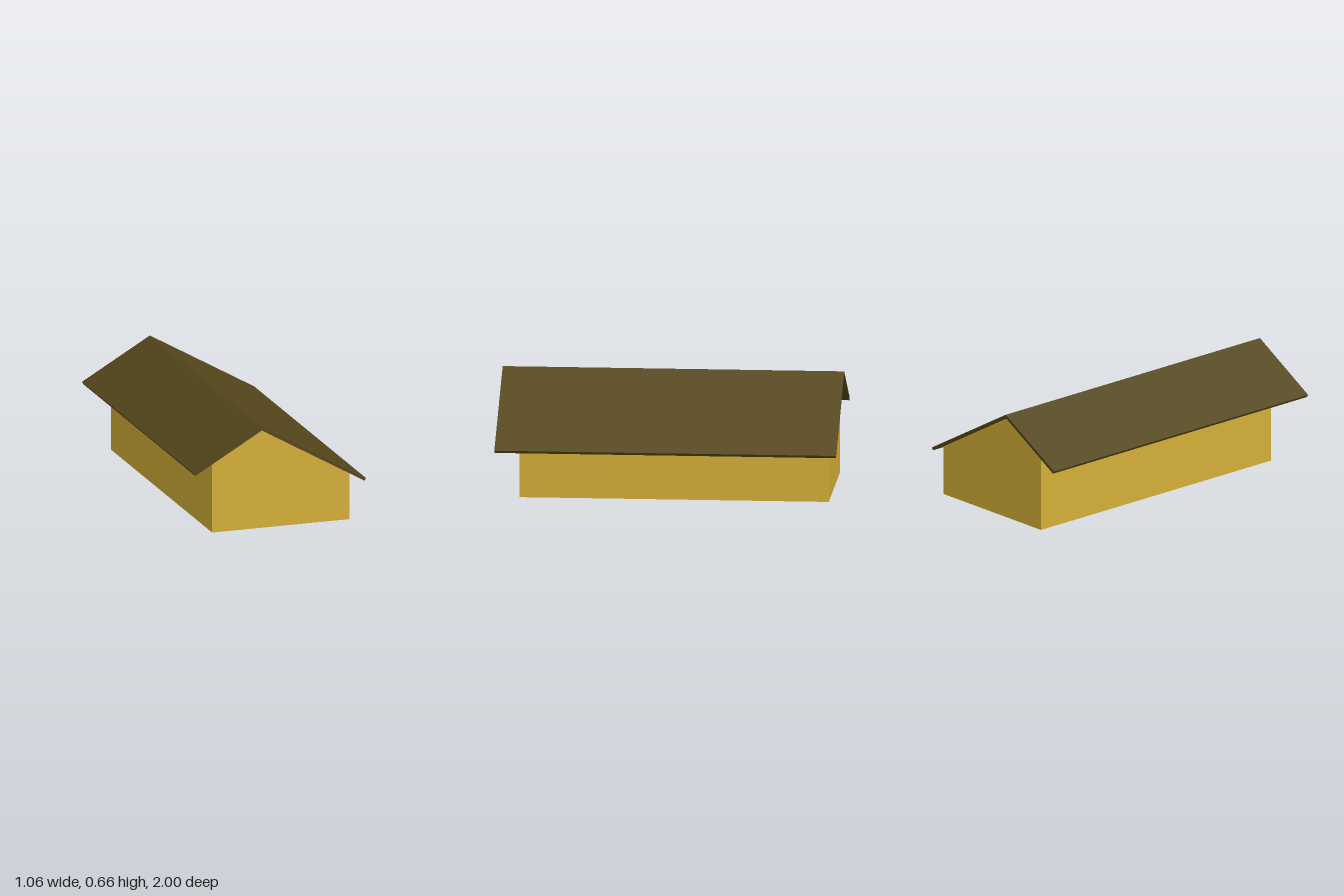
import * as THREE from 'three';

const SLOPE = Math.tan(Math.PI / 6);
const RIDGE_X = -0.113, CEILING = 0.637;
const LEFT = 0.48, RIGHT = -0.37, FRONT = 0.855, BACK = -0.955, WALL = 0.02;

// Height of the roof's underside at x
const under = (x) => CEILING - Math.abs(x - RIDGE_X) * SLOPE;

export function createModel() {
  const model = new THREE.Group();
  const material = (color) => new THREE.MeshStandardMaterial({ color });
  const wallMat = material(0xd4af37), roofMat = material(0x54461b), floorMat = material(0x222222);

  // Extrudes an x/y outline from z0 to z1
  function prism(name, points, z0, z1, mat) {
    const shape = new THREE.Shape(points.map(([x, y]) => new THREE.Vector2(x, y)));
    const geometry = new THREE.ExtrudeGeometry(shape, { depth: z1 - z0, bevelEnabled: false });
    geometry.translate(0, 0, z0);
    const mesh = new THREE.Mesh(geometry, mat);
    mesh.name = name;
    model.add(mesh);
  }

  // Gable ends
  const gable = [[RIGHT, 0], [LEFT, 0], [LEFT, under(LEFT)], [RIDGE_X, CEILING], [RIGHT, under(RIGHT)]];
  prism('frontGable', gable, FRONT - WALL, FRONT, wallMat);
  prism('backGable', gable, BACK, BACK + WALL, wallMat);

  // Long side walls, their tops following the roof pitch
  for (const [name, a, b] of [['rightWall', RIGHT, RIGHT + WALL], ['leftWall', LEFT - WALL, LEFT]]) {
    prism(name, [[a, 0], [b, 0], [b, under(b)], [a, under(a)]], BACK + WALL, FRONT - WALL, wallMat);
  }

  // Floor slab inside the walls
  prism('floor', [[RIGHT + WALL, 0.002], [LEFT - WALL, 0.002], [LEFT - WALL, 0.02], [RIGHT + WALL, 0.02]],
    BACK + WALL, FRONT - WALL, floorMat);

  // Asymmetric pitched roof with square-cut eaves
  prism('roof', [
    [-0.533, 0.415], [-0.524, 0.4], [RIDGE_X, CEILING], [0.522, 0.27], [0.531, 0.285], [RIDGE_X, 0.657],
  ], -1, 1, roofMat);

  return model;
}
